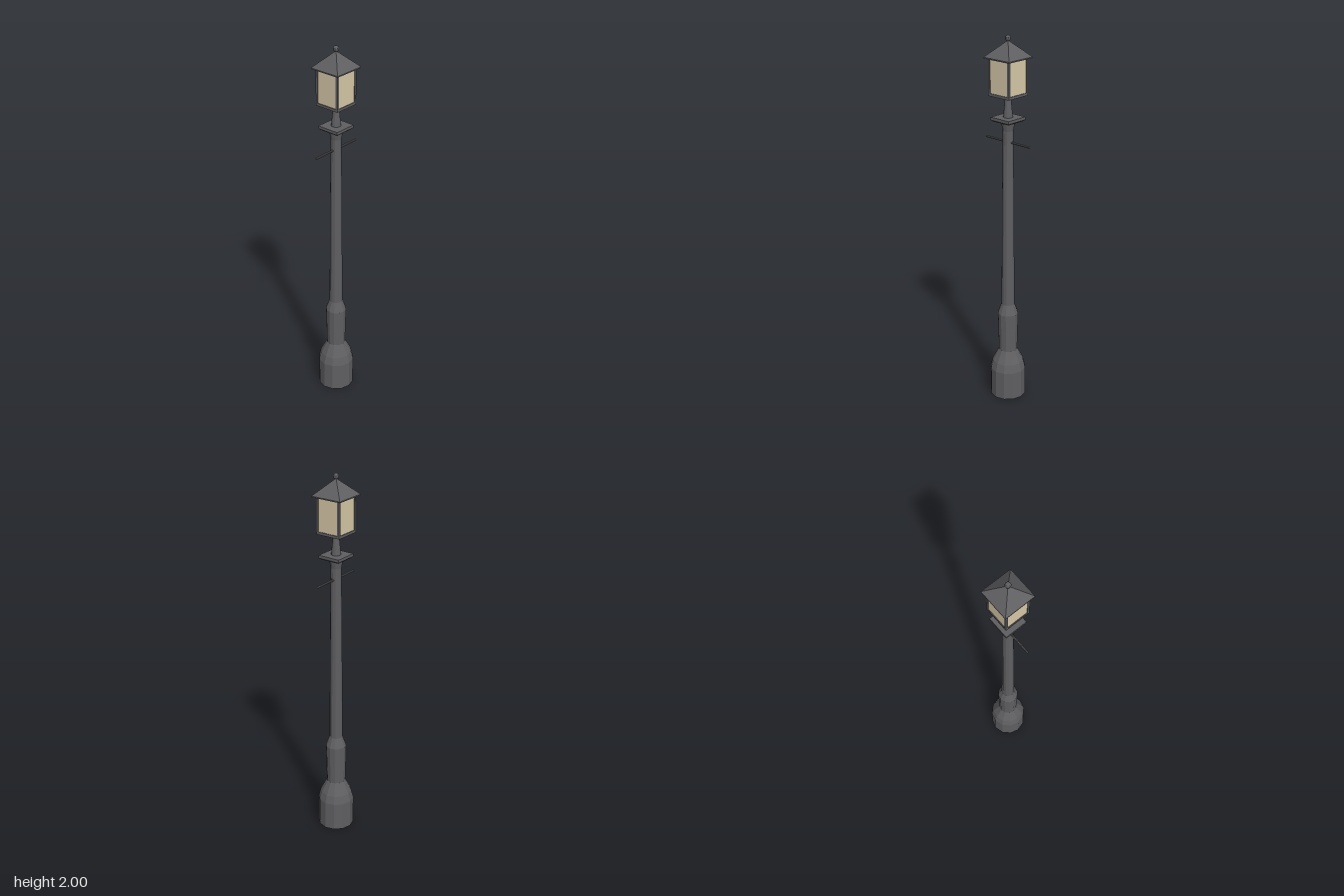
import * as THREE from 'three';

export function createModel() {
  const model = new THREE.Group();
  model.name = 'streetLamp';
  const iron = new THREE.MeshStandardMaterial({ color: 0x5f5f62, flatShading: true });
  iron.name = 'dark iron';
  const pane = new THREE.MeshStandardMaterial({ color: 0xd8c9a8, flatShading: true });
  pane.name = 'warm glass';

  const add = (name, geometry, material, x = 0, y = 0, z = 0, parent = model) => {
    const mesh = new THREE.Mesh(geometry, material);
    mesh.name = name;
    mesh.position.set(x, y, z);
    parent.add(mesh);
    return mesh;
  };
  const lathe = (points) =>
    new THREE.LatheGeometry(points.map(([r, y]) => new THREE.Vector2(r, y)), 12);
  // Square frustum with sides along the axes, sizes given as half widths
  const frustum = (top, bottom, height) =>
    new THREE.CylinderGeometry(top * Math.SQRT2, bottom * Math.SQRT2, height, 4, 1)
      .rotateY(Math.PI / 4);

  // Base and stepped post
  add('base', lathe([[0, 0], [0.097, 0], [0.097, 0.16], [0.085, 0.205], [0.067, 0.24], [0.051, 0.272]]), iron);
  add('lowerPost', lathe([[0.051, 0.272], [0.056, 0.49], [0.036, 0.545]]), iron);
  add('post', lathe([[0.036, 0.545], [0.033, 0.94], [0.031, 1.2], [0.028, 1.45], [0.028, 1.515], [0.037, 1.562]]), iron);

  // Ladder bar
  add('ladderBar', new THREE.CylinderGeometry(0.006, 0.006, 0.3, 8).rotateZ(Math.PI / 2), iron, 0, 1.455, 0);

  // Square collar and neck
  add('collarUnderside', frustum(0.062, 0.053, 0.008), iron, 0, 1.566, 0);
  add('collar', frustum(0.062, 0.062, 0.015), iron, 0, 1.5775, 0);
  add('neck', lathe([[0.025, 1.585], [0.022, 1.62], [0.014, 1.7]]), iron);

  // Lantern frame with four corner posts and recessed panes
  const lantern = new THREE.Group();
  lantern.name = 'lantern';
  model.add(lantern);
  add('lanternFloor', new THREE.BoxGeometry(0.14, 0.014, 0.14), iron, 0, 1.702, 0, lantern);
  add('lanternTop', new THREE.BoxGeometry(0.14, 0.008, 0.14), iron, 0, 1.882, 0, lantern);
  for (let i = 0; i < 4; i++) {
    const side = new THREE.Group();
    side.name = 'lanternSide';
    side.rotation.y = i * Math.PI / 2;
    lantern.add(side);
    add('cornerPost', new THREE.BoxGeometry(0.011, 0.17, 0.011), iron, 0.0645, 1.794, 0.0645, side);
    add('glassPane', new THREE.BoxGeometry(0.12, 0.17, 0.004), pane, 0, 1.794, 0.064, side);
  }

  // Pyramid roof and ball finial
  add('roofEave', frustum(0.086, 0.086, 0.006), iron, 0, 1.887, 0);
  add('roof', frustum(0.004, 0.086, 0.08), iron, 0, 1.93, 0);
  add('finial', new THREE.SphereGeometry(0.0155, 10, 8), iron, 0, 1.9845, 0);

  return model;
}
